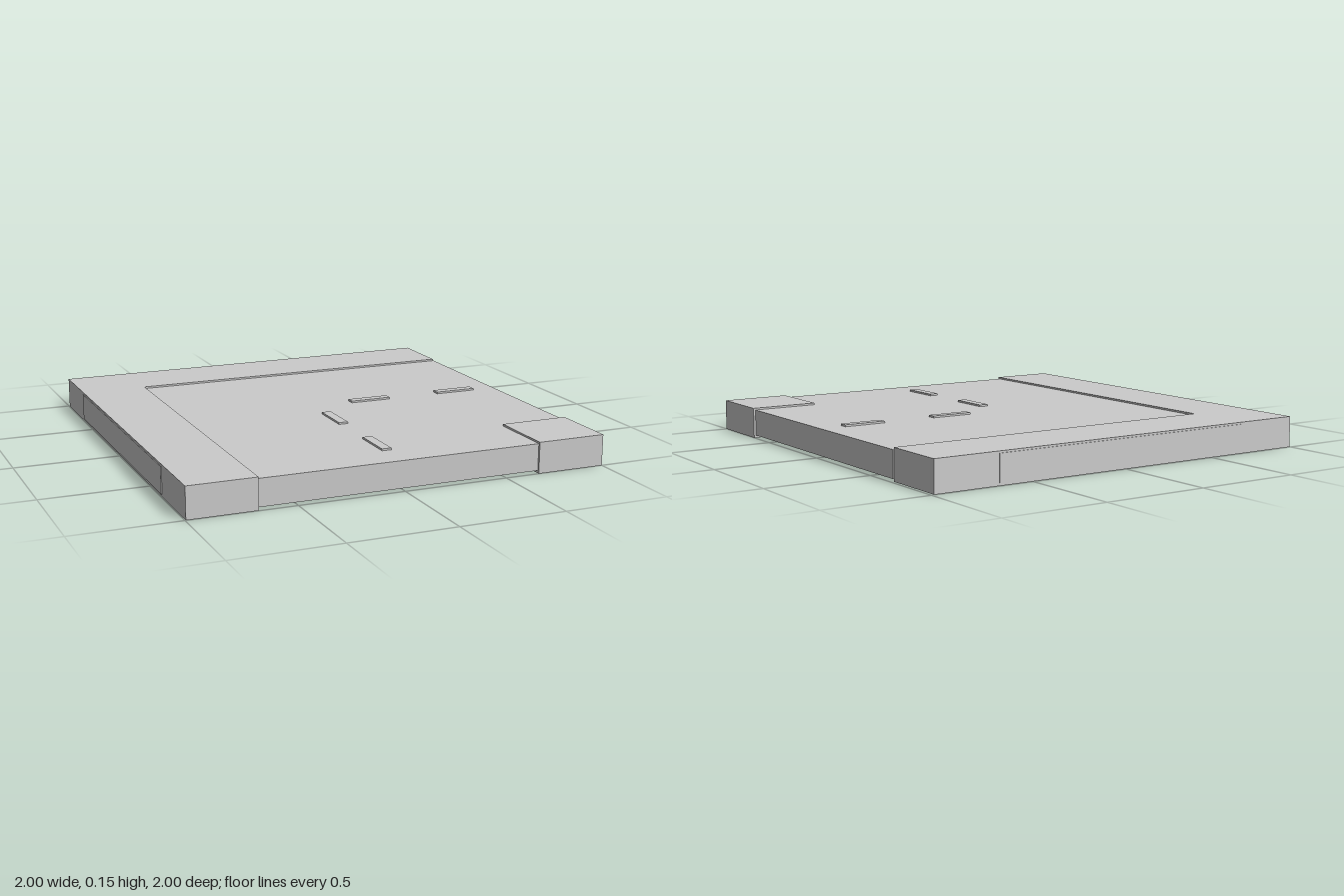
import * as THREE from 'three';

const HEIGHT = 0.147;
const ROAD_BOTTOM = 0.012;
const ROAD_TOP = 0.138;

export function createModel() {
  const tile = new THREE.Group();
  tile.name = 'roadCornerTile';
  const material = new THREE.MeshStandardMaterial({ color: 0xcccccc, flatShading: true });

  const add = (name, geometry) => {
    const mesh = new THREE.Mesh(geometry, material);
    mesh.name = name;
    tile.add(mesh);
  };

  // Flat slab from a plan outline of [x, z] points, between two heights
  const slab = (name, points, bottom, top) => {
    const shape = new THREE.Shape(points.map(([x, z]) => new THREE.Vector2(x, z)));
    const geometry = new THREE.ExtrudeGeometry(shape, { depth: top - bottom, bevelEnabled: false });
    geometry.rotateX(Math.PI / 2).translate(0, top, 0);
    add(name, geometry);
  };

  // Rectangle in plan, given by its limits
  const block = (name, x0, x1, z0, z1, bottom, top) => {
    const geometry = new THREE.BoxGeometry(x1 - x0, top - bottom, z1 - z0);
    geometry.translate((x0 + x1) / 2, (bottom + top) / 2, (z0 + z1) / 2);
    add(name, geometry);
  };

  // Road bed with notched corners
  const a = -0.677, b = 0.668, lo = -1, hi = 0.99;
  slab('roadBed', [
    [a, lo], [b, lo], [b, a], [hi, a], [hi, b], [b, b],
    [b, hi], [a, hi], [a, b], [lo, b], [lo, a], [a, a],
  ], ROAD_BOTTOM, ROAD_TOP);

  // L-shaped pavement around the outside of the bend
  slab('outerPavement', [
    [-0.996, -0.996], [0.985, -0.996], [0.985, a], [a, a], [a, 0.998], [-0.996, 0.998],
  ], 0, HEIGHT);

  // Pavement at the inside corner
  block('innerPavement', 0.667, 1, 0.667, 1, 0, HEIGHT);

  // Lane dashes along both arms
  for (const x of [0.19, 0.664]) block('laneDash', x, x + 0.207, -0.04, 0.002, ROAD_TOP - 0.01, HEIGHT);
  for (const z of [0.14, 0.615]) block('laneDash', -0.03, 0.015, z, z + 0.207, ROAD_TOP - 0.01, HEIGHT);

  return tile;
}
